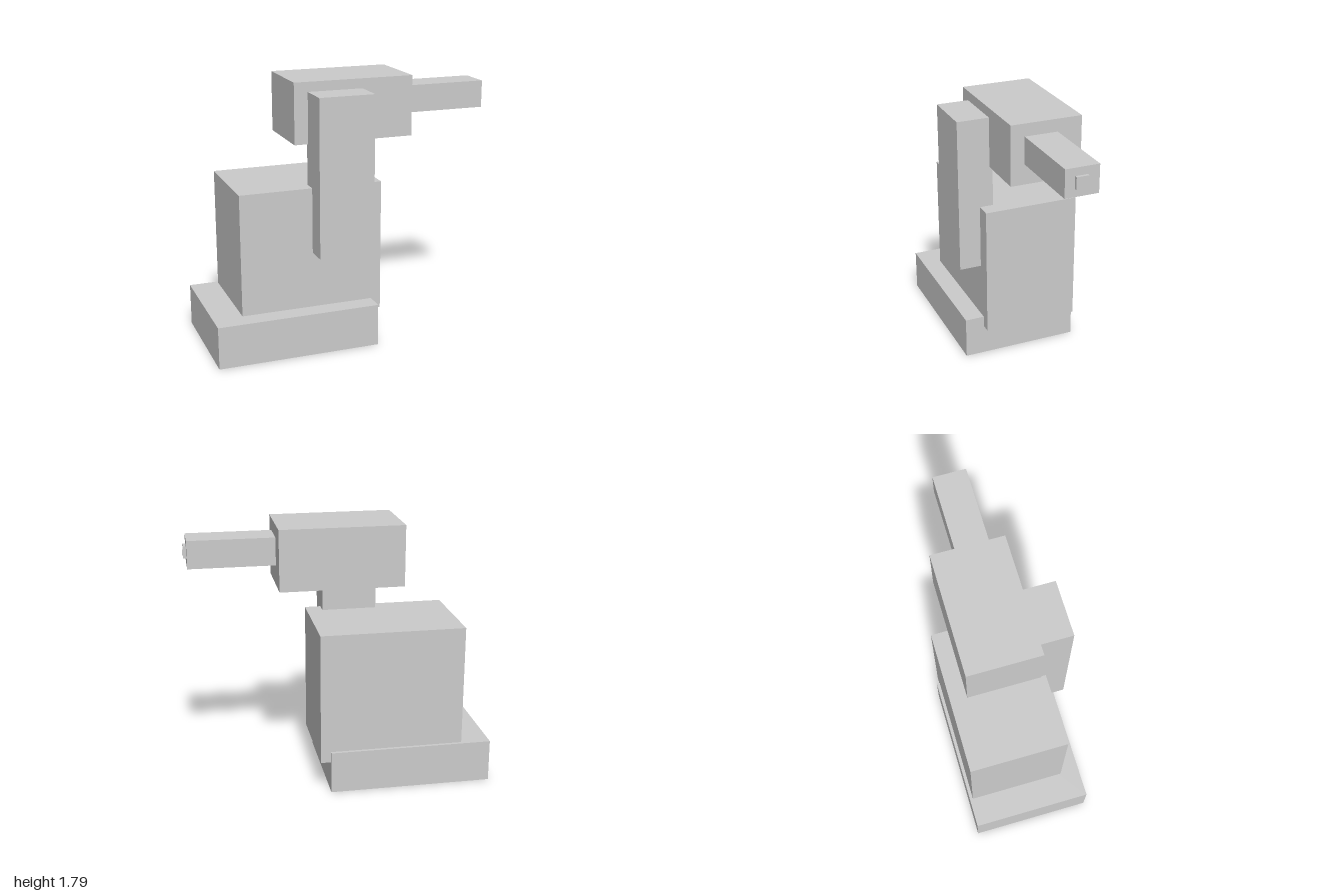
import * as THREE from 'three';

export function createModel() {
  const model = new THREE.Group();
  const material = new THREE.MeshStandardMaterial({ color: 0xcccccc, flatShading: true });

  // Box spanning [min, max] on each axis
  function addBox(name, [x0, x1], [y0, y1], [z0, z1]) {
    const mesh = new THREE.Mesh(new THREE.BoxGeometry(x1 - x0, y1 - y0, z1 - z0), material);
    mesh.position.set((x0 + x1) / 2, (y0 + y1) / 2, (z0 + z1) / 2);
    mesh.name = name;
    model.add(mesh);
  }

  // Base slab and the body sunk into it
  addBox('base', [-1, 0.1], [0, 0.287], [-0.412, 0.395]);
  addBox('body', [-0.803, 0.167], [0.212, 1.106], [-0.39, 0.263]);

  // Upright arm on the front of the body, carrying the head
  addBox('arm', [-0.315, 0.059], [0.667, 1.722], [0.17, 0.412]);
  addBox('head', [-0.407, 0.412], [1.382, 1.787], [-0.292, 0.192]);

  // Nozzle pointing to the left side, with its small tip
  addBox('nozzle', [0.4, 0.98], [1.518, 1.702], [-0.126, 0.098]);
  addBox('nozzleTip', [0.96, 1], [1.57, 1.65], [-0.048, 0.033]);

  return model;
}
